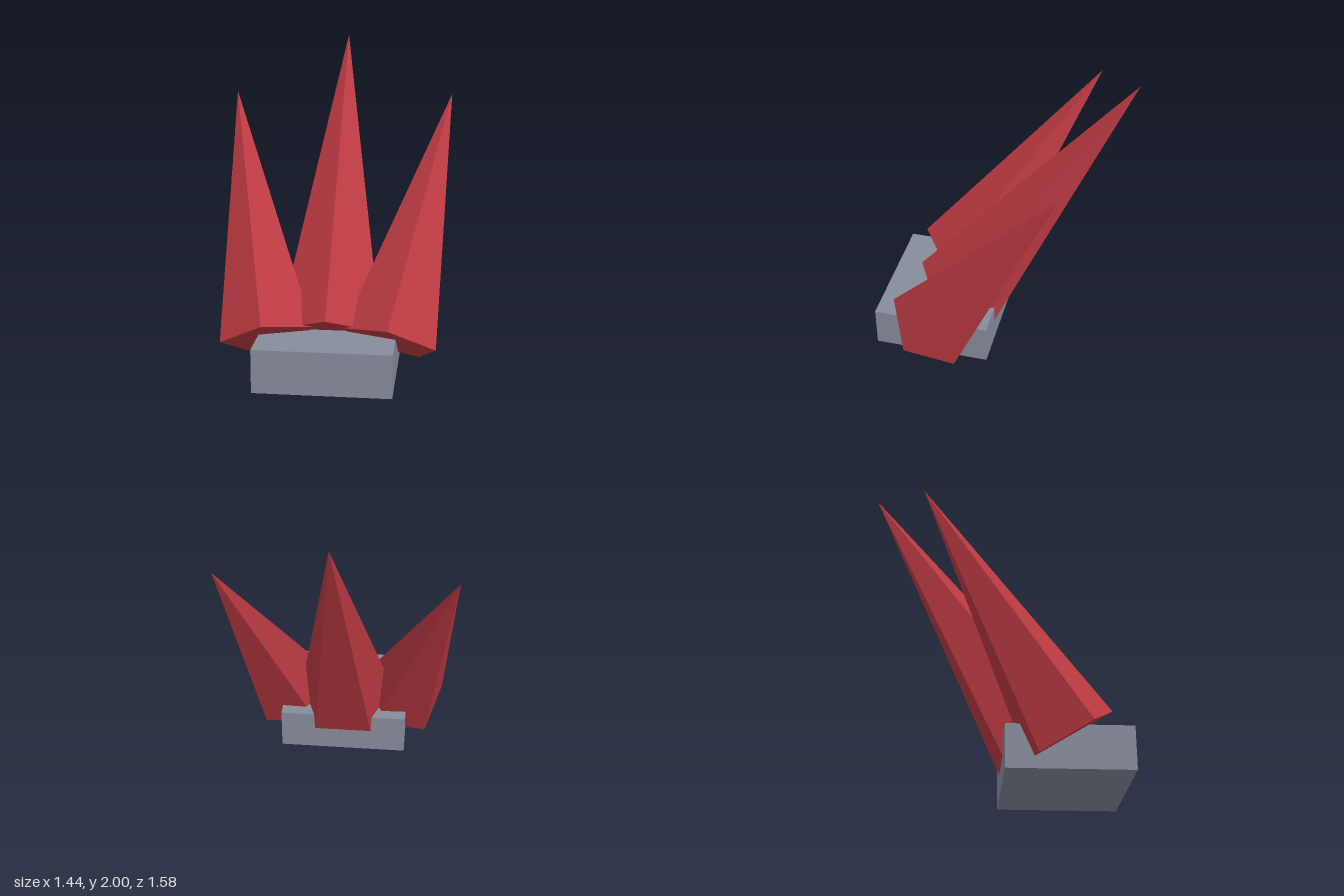
import * as THREE from 'three';

const red = new THREE.MeshStandardMaterial({ name: 'crimson', color: 0xbc3a42, flatShading: true });
const grey = new THREE.MeshStandardMaterial({ name: 'slate grey', color: 0x878d9c, flatShading: true });

// Five-sided spike: base centre at the given point, leaning back and outward
function makeSpike(name, radius, height, base, lean, splay) {
  const geometry = new THREE.ConeGeometry(radius, height, 5);
  geometry.translate(0, height / 2, 0);
  const mesh = new THREE.Mesh(geometry, red);
  mesh.name = name;
  mesh.position.set(...base);
  mesh.rotation.set(-lean, 0, -splay);
  return mesh;
}

export function createModel() {
  const model = new THREE.Group();
  model.name = 'spikedCrest';

  // Flat block at the foot
  const block = new THREE.Mesh(new THREE.BoxGeometry(0.84, 0.27, 0.76), grey);
  block.name = 'baseBlock';
  block.position.set(0, 0.135, 0.415);
  model.add(block);

  // Tall middle spike
  model.add(makeSpike('middleSpike', 0.337, 2.093, [0, 0.215, 0.304], 0.55, 0));

  // Shorter spikes splayed to each side
  for (const side of [1, -1]) {
    const name = side > 0 ? 'leftSpike' : 'rightSpike';
    model.add(makeSpike(name, 0.305, 1.712, [side * 0.379, 0.211, 0.412], 0.55, side * 0.2));
  }
  return model;
}
